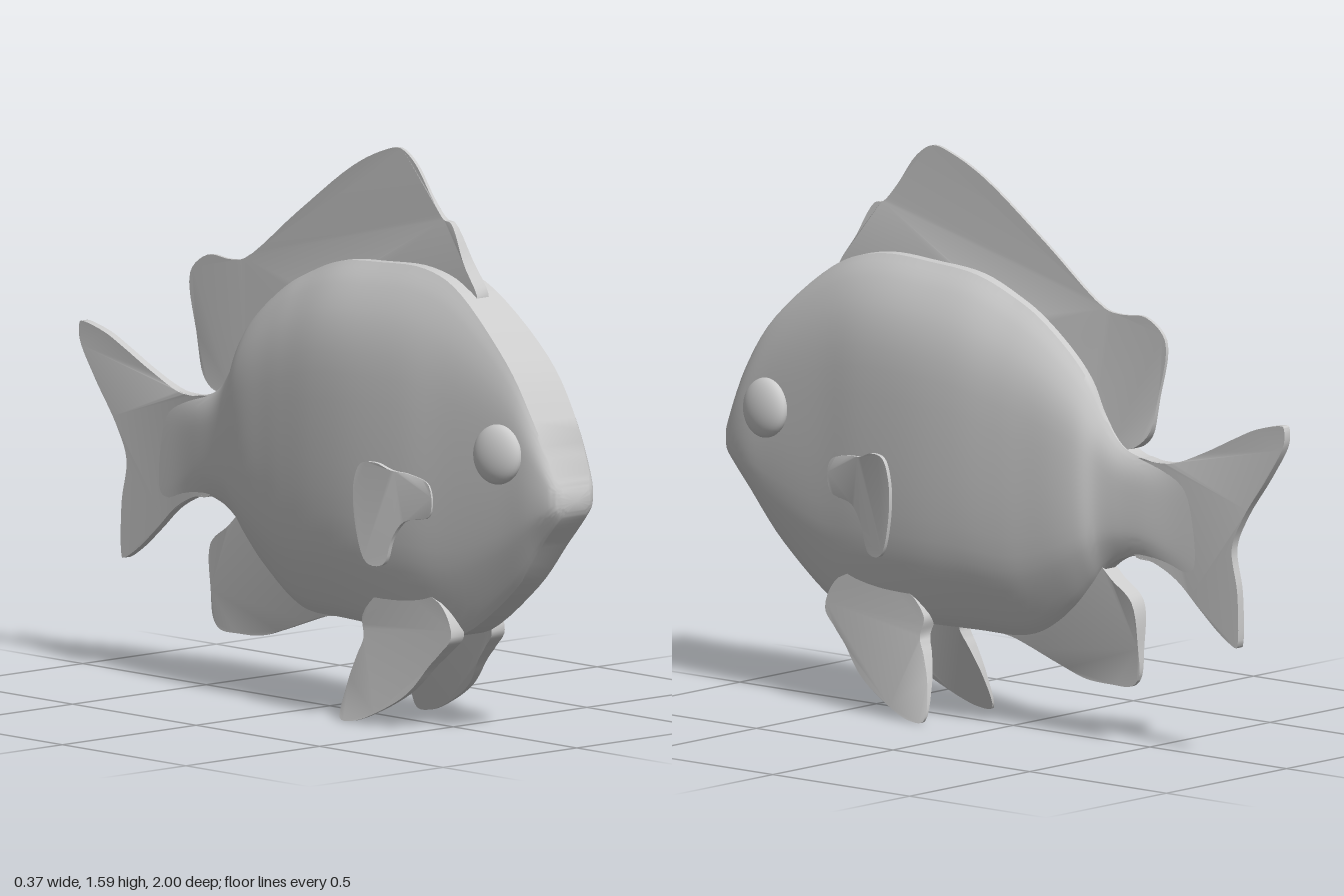
import * as THREE from 'three';
import { toCreasedNormals } from 'three/addons/utils/BufferGeometryUtils.js';

const material = new THREE.MeshStandardMaterial({ color: 0xcccccc, side: THREE.DoubleSide });
const { lerp, smoothstep } = THREE.MathUtils;

function addMesh(parent, name, geometry) {
  const mesh = new THREE.Mesh(geometry, material);
  mesh.name = name;
  parent.add(mesh);
  return mesh;
}

// Body stations: z, bottom y, top y, half width, belly width share, back width share
const stations = [
  [1.0, 0.66, 0.71, 0.05, 0.6, 0.8],
  [0.98, 0.63, 0.755, 0.078, 0.6, 0.8],
  [0.91, 0.55, 0.9, 0.1, 0.5, 0.78],
  [0.8, 0.42, 1.055, 0.11, 0.4, 0.72],
  [0.6, 0.275, 1.22, 0.128, 0.38, 0.5],
  [0.44, 0.26, 1.272, 0.147, 0.4, 0.35],
  [0.25, 0.26, 1.268, 0.157, 0.35, 0.3],
  [0.09, 0.26, 1.252, 0.152, 0.25, 0.3],
  [-0.05, 0.26, 1.2, 0.137, 0.18, 0.3],
  [-0.14, 0.29, 1.152, 0.125, 0.15, 0.32],
  [-0.24, 0.36, 1.075, 0.111, 0.15, 0.35],
  [-0.31, 0.43, 1.0, 0.093, 0.2, 0.4],
  [-0.36, 0.485, 0.91, 0.066, 0.3, 0.45],
  [-0.42, 0.52, 0.835, 0.05, 0.4, 0.5],
  [-0.5, 0.53, 0.805, 0.036, 0.5, 0.5],
  [-0.6, 0.485, 0.805, 0.021, 0.5, 0.5],
  [-0.72, 0.4, 0.85, 0.011, 0.6, 0.6],
];

// Half of a cross-section from belly to back
function halfSection([z, bottom, top, half, belly, back]) {
  const height = top - bottom;
  const profile = [
    [0, belly], [0.04, lerp(belly, 1, 0.25)], [0.14, lerp(belly, 1, 0.63)], [0.25, lerp(belly, 1, 0.87)],
    [0.45, 1], [0.7, 1], [0.84, lerp(back, 1, 0.8)], [0.94, lerp(back, 1, 0.4)], [1, back],
  ].map(([v, w]) => new THREE.Vector3(half * w, bottom + height * v, z));
  return new THREE.CatmullRomCurve3(profile, false, 'catmullrom').getPoints(24);
}

// Loft through smoothly interpolated stations, closed at both ends
function bodyGeometry() {
  const outline = new THREE.CatmullRomCurve3(stations.map((s) => new THREE.Vector3(s[0], s[1], s[2])), false, 'catmullrom');
  const widths = new THREE.CatmullRomCurve3(stations.map((s) => new THREE.Vector3(s[3], s[4], s[5])), false, 'catmullrom');
  const rows = 80;
  const positions = [];
  const index = [];
  let n = 0;
  for (let i = 0; i <= rows; i++) {
    const side = halfSection([...outline.getPoint(i / rows).toArray(), ...widths.getPoint(i / rows).toArray()]);
    const ring = [...side, ...side.map((p) => new THREE.Vector3(-p.x, p.y, p.z)).reverse()];
    n = ring.length;
    ring.forEach((p) => positions.push(p.x, p.y, p.z));
  }
  const nose = positions.length / 3;
  positions.push(0, 0.685, 1.0, 0, 0.62, -0.72);
  for (let j = 0; j < n; j++) {
    const k = (j + 1) % n;
    for (let i = 0; i < rows; i++) {
      const a = i * n + j, b = i * n + k, c = a + n, d = b + n;
      index.push(a, c, d, a, d, b);
    }
    index.push(nose, j, k, nose + 1, rows * n + k, rows * n + j);
  }
  const geometry = new THREE.BufferGeometry();
  geometry.setAttribute('position', new THREE.Float32BufferAttribute(positions, 3));
  geometry.setIndex(index);
  return toCreasedNormals(geometry, 0.7);
}

// Thin fin: [z, y] outline, with rules for half thickness and sideways position
function finGeometry(points, thickness, offset = () => 0) {
  const curve = new THREE.CatmullRomCurve3(points.map(([z, y]) => new THREE.Vector3(z, y, 0)), true, 'centripetal');
  const outline = curve.getPoints(points.length * 5).slice(0, -1);
  const shape = new THREE.Shape(outline.map((p) => new THREE.Vector2(p.x, p.y)));
  const geometry = new THREE.ExtrudeGeometry(shape, { depth: 1, bevelEnabled: false });
  geometry.translate(0, 0, -0.5).rotateY(-Math.PI / 2);
  const pos = geometry.attributes.position;
  for (let i = 0; i < pos.count; i++) {
    const y = pos.getY(i), z = pos.getZ(i);
    pos.setX(i, offset(y, z) + Math.sign(pos.getX(i)) * thickness(y, z));
  }
  return toCreasedNormals(geometry, 0.7);
}

const dorsal = [
  [0.62, 1.2], [0.56, 1.3], [0.5, 1.4], [0.47, 1.407], [0.42, 1.46], [0.35, 1.55], [0.29, 1.585], [0.22, 1.57],
  [0.1, 1.515], [-0.125, 1.36], [-0.34, 1.205], [-0.4, 1.195], [-0.49, 1.197], [-0.56, 1.14], [-0.535, 0.98],
  [-0.5, 0.865], [-0.435, 0.825], [-0.39, 0.85], [-0.3, 0.95], [-0.1, 1.1], [0.1, 1.19], [0.44, 1.2],
];
const tail = [
  [-0.46, 0.8], [-0.54, 0.8], [-0.6, 0.805], [-0.715, 0.85], [-0.82, 0.9], [-0.9, 0.935], [-0.995, 0.955], [-1, 0.95],
  [-1, 0.905], [-0.94, 0.805], [-0.85, 0.68], [-0.81, 0.59], [-0.83, 0.47], [-0.83, 0.32], [-0.825, 0.315],
  [-0.77, 0.345], [-0.69, 0.41], [-0.61, 0.48], [-0.53, 0.52], [-0.46, 0.535],
];
const anal = [
  [0.08, 0.27], [-0.02, 0.245], [-0.18, 0.19], [-0.27, 0.163], [-0.36, 0.158], [-0.44, 0.162], [-0.465, 0.19],
  [-0.468, 0.27], [-0.455, 0.4], [-0.385, 0.455], [-0.345, 0.49], [-0.3, 0.52], [-0.2, 0.45], [-0.05, 0.36],
];
const pelvic = [
  [0.6, 0.27], [0.56, 0.22], [0.52, 0.18], [0.45, 0.1], [0.33, 0.03], [0.25, 0.002], [0.2, 0.005], [0.205, 0.1],
  [0.23, 0.18], [0.25, 0.23], [0.24, 0.29], [0.35, 0.38], [0.55, 0.36],
];
const pectoral = [
  [0.55, 0.69], [0.48, 0.715], [0.42, 0.72], [0.37, 0.737], [0.32, 0.73], [0.295, 0.67], [0.3, 0.55],
  [0.335, 0.455], [0.39, 0.455], [0.42, 0.53], [0.46, 0.58], [0.55, 0.605],
];

export function createModel() {
  const fish = new THREE.Group();
  fish.name = 'fish';
  addMesh(fish, 'body', bodyGeometry());
  addMesh(fish, 'dorsalFin', finGeometry(dorsal, (y, z) => {
    const base = 1.27 - 0.9 * Math.max(0, 0.05 - z);
    return lerp(0.022, 0.005, smoothstep(y, base - 0.03, base + 0.2));
  }));
  addMesh(fish, 'tailFin', finGeometry(tail, (y, z) => lerp(0.012, 0.022, smoothstep(z, -0.7, -0.46))));
  addMesh(fish, 'analFin', finGeometry(anal, (y) => lerp(0.006, 0.028, smoothstep(y, 0.16, 0.45))));

  // Paired fins and eyes
  for (const [label, side] of [['left', 1], ['right', -1]]) {
    addMesh(fish, label + 'PelvicFin', finGeometry(
      pelvic,
      (y) => lerp(0.004, 0.025, smoothstep(y, 0, 0.3)),
      (y) => side * (0.075 + 0.07 * Math.pow(Math.max(0, 1 - y / 0.28), 1.3)),
    ));
    addMesh(fish, label + 'PectoralFin', finGeometry(
      pectoral,
      () => 0.006,
      (y, z) => side * (lerp(0.18, 0.132, smoothstep(z, 0.27, 0.56)) - 0.03 * Math.max(0, 0.68 - y)),
    ));
    const eye = addMesh(fish, label + 'Eye', new THREE.SphereGeometry(0.083, 32, 24));
    eye.scale.x = 0.45;
    eye.position.set(side * 0.115, 0.805, 0.805);
    eye.rotation.set(0, -side * 0.12, side * 0.1);
  }
  return fish;
}
